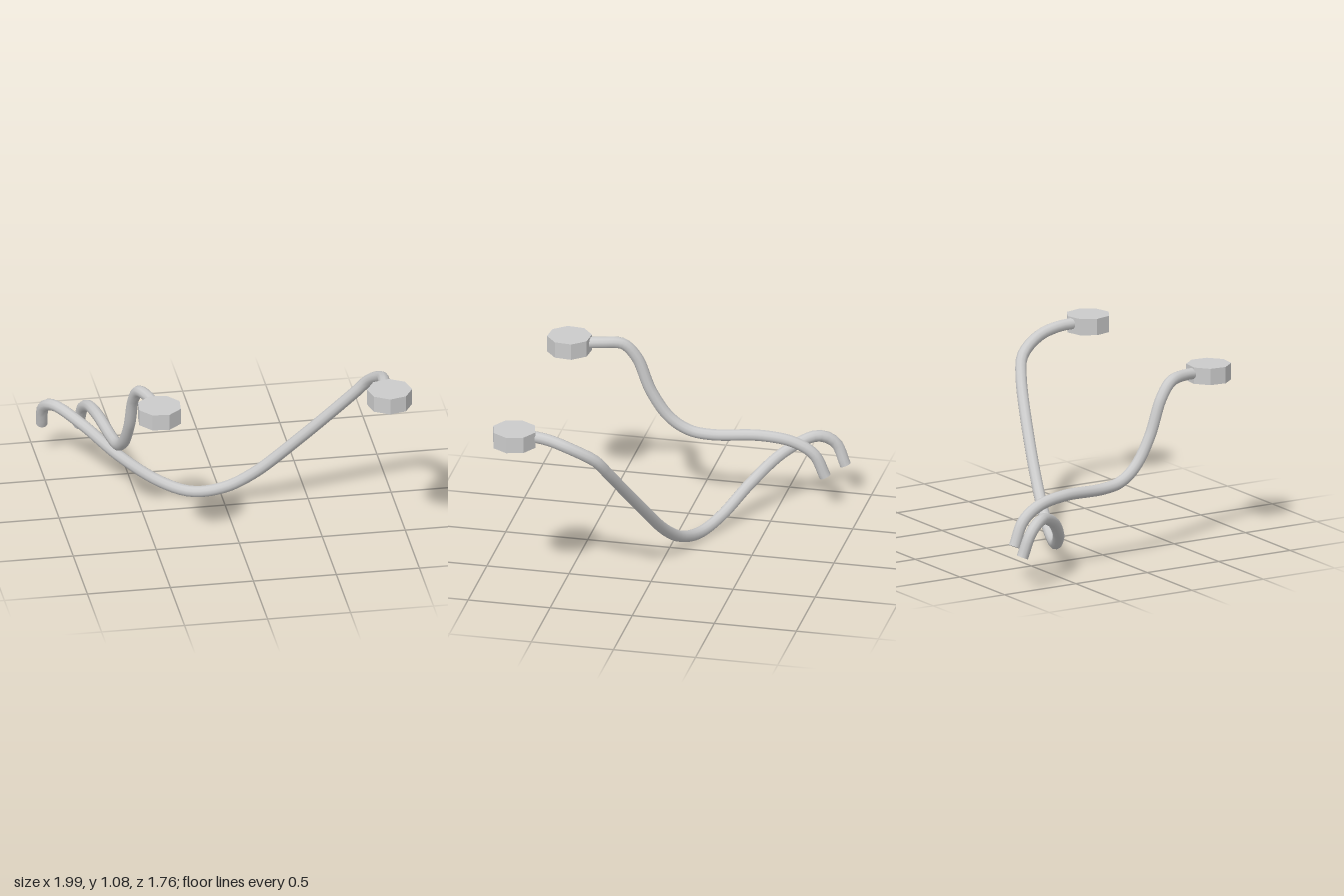
import * as THREE from 'three';

const material = new THREE.MeshStandardMaterial({ color: 0xcccccc });
const flatMaterial = new THREE.MeshStandardMaterial({ color: 0xcccccc, flatShading: true });
const RADIUS = 0.035, SIDES = 10;

// Bent tube through the given points, closed by a disc at each end
function bentTube(name, points) {
  const group = new THREE.Group();
  group.name = name;
  const curve = new THREE.CatmullRomCurve3(points.map(p => new THREE.Vector3(...p)));
  const tube = new THREE.Mesh(new THREE.TubeGeometry(curve, 72, RADIUS, SIDES), material);
  tube.name = name + 'Tube';
  group.add(tube);
  for (const t of [0, 1]) {
    const cap = new THREE.Mesh(new THREE.CircleGeometry(RADIUS, SIDES), material);
    const outward = curve.getTangent(t).multiplyScalar(t ? 1 : -1);
    cap.position.copy(curve.getPoint(t));
    cap.quaternion.setFromUnitVectors(new THREE.Vector3(0, 0, 1), outward);
    cap.name = name + 'EndCap';
    group.add(cap);
  }
  return group;
}

// Eight-sided pad at the front end of a tube
function pad(name, x, z, turn) {
  const mesh = new THREE.Mesh(new THREE.CylinderGeometry(0.134, 0.134, 0.1, 8), flatMaterial);
  mesh.position.set(x, 1.04, z);
  mesh.rotation.y = turn;
  mesh.name = name;
  return mesh;
}

export function createModel() {
  const model = new THREE.Group();
  model.name = 'bentTubesWithPads';

  // Long tube sweeping from the left pad down and across to the right rear
  model.add(bentTube('leftTube', [
    [0.85, 1.05, 0.66], [0.865, 1.04, 0.54], [0.87, 1.0, 0.41], [0.82, 0.91, 0.265],
    [0.75, 0.81, 0.21], [0.44, 0.465, 0.08], [0.17, 0.2, -0.015], [0, 0.09, -0.075],
    [-0.18, 0.045, -0.145], [-0.36, 0.085, -0.235], [-0.58, 0.21, -0.36],
    [-0.765, 0.345, -0.52], [-0.91, 0.405, -0.69], [-0.96, 0.35, -0.79], [-0.96, 0.21, -0.85],
  ]));

  // Shorter tube running straight back from the right pad
  model.add(bentTube('rightTube', [
    [-0.53, 1.045, 0.65], [-0.55, 1.05, 0.54], [-0.59, 1.035, 0.42], [-0.61, 0.945, 0.34],
    [-0.62, 0.73, 0.255], [-0.635, 0.565, 0.147], [-0.65, 0.485, 0.03], [-0.662, 0.463, -0.1],
    [-0.7, 0.47, -0.4], [-0.722, 0.437, -0.59], [-0.74, 0.36, -0.71], [-0.75, 0.22, -0.775],
  ]));

  model.add(pad('leftPad', 0.863, 0.75, -0.14));
  model.add(pad('rightPad', -0.52, 0.73, 0.3));
  return model;
}
